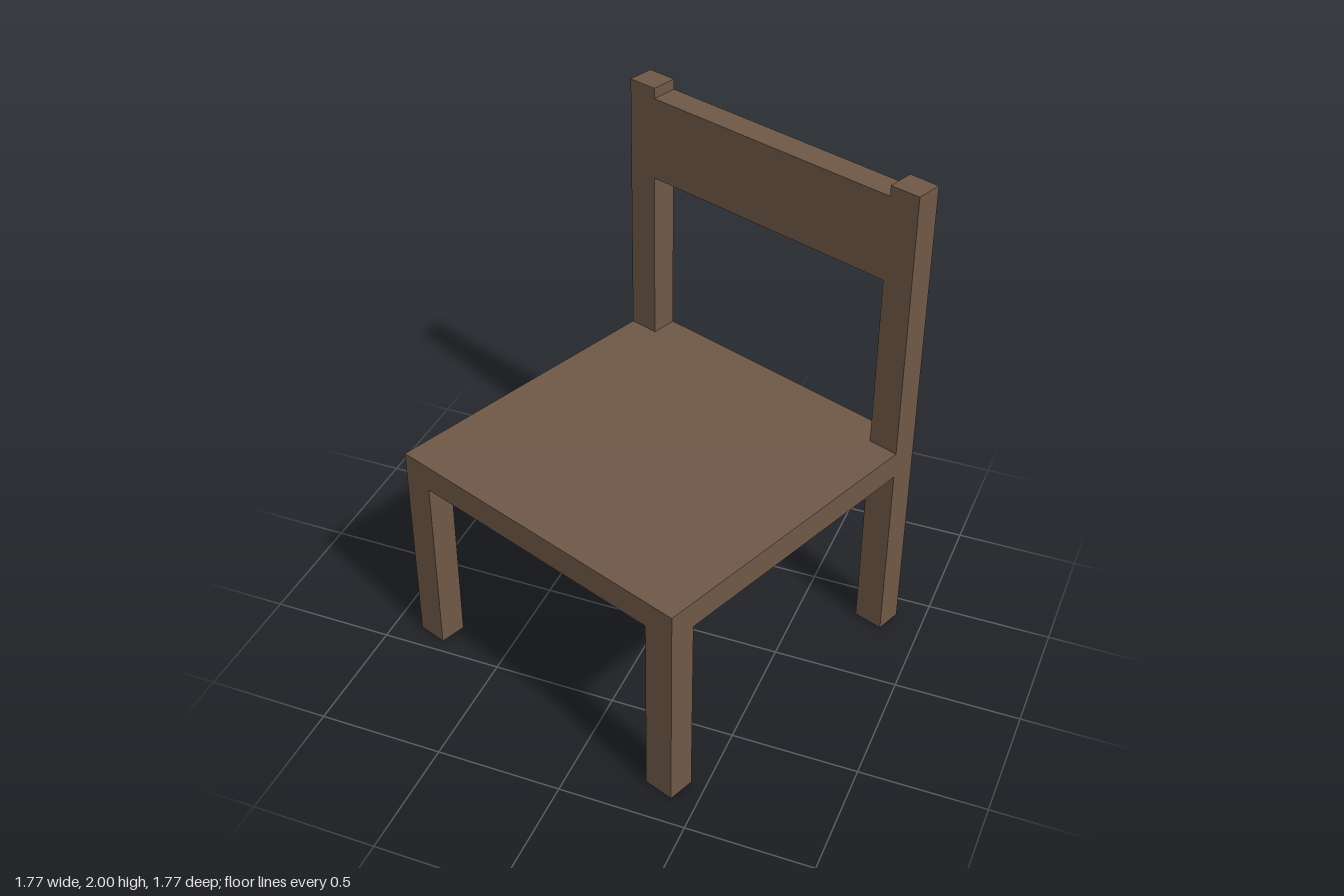
import * as THREE from 'three';

const HALF = 0.689;                 // half side of the square seat
const LEG_W = 0.125, LEG_D = 0.112; // leg section
const SEAT_LOW = 0.777, SEAT_TOP = 0.888;

export function createModel() {
  const chair = new THREE.Group();
  chair.name = 'chair';
  const wood = new THREE.MeshStandardMaterial({ color: 0x6f5847, flatShading: true });

  // Box given by its width, depth, bottom and top heights, and centre
  function block(name, w, d, y0, y1, x, z) {
    const mesh = new THREE.Mesh(new THREE.BoxGeometry(w, y1 - y0, d), wood);
    mesh.position.set(x, (y0 + y1) / 2, z);
    mesh.name = name;
    chair.add(mesh);
  }

  const legX = HALF - LEG_W / 2, legZ = HALF - LEG_D / 2;

  block('seat', HALF * 2, HALF * 2, SEAT_LOW, SEAT_TOP, 0, 0);

  // Legs under the seat corners, and back posts continuing above it
  for (const [side, s] of [['left', 1], ['right', -1]]) {
    block(side + 'FrontLeg', LEG_W, LEG_D, 0, SEAT_LOW, s * legX, legZ);
    block(side + 'BackLeg', LEG_W, LEG_D, 0, SEAT_LOW, s * legX, -legZ);
    block(side + 'BackPost', LEG_W, LEG_D, SEAT_TOP, 2, s * legX, -legZ);
  }

  // Backrest board, flush between the posts
  block('backrest', 2 * (HALF - LEG_W), LEG_D, 1.612, 1.957, 0, -legZ);

  // The whole chair stands turned about the vertical
  chair.rotation.y = -THREE.MathUtils.degToRad(20.6);

  const model = new THREE.Group();
  model.add(chair);
  return model;
}
